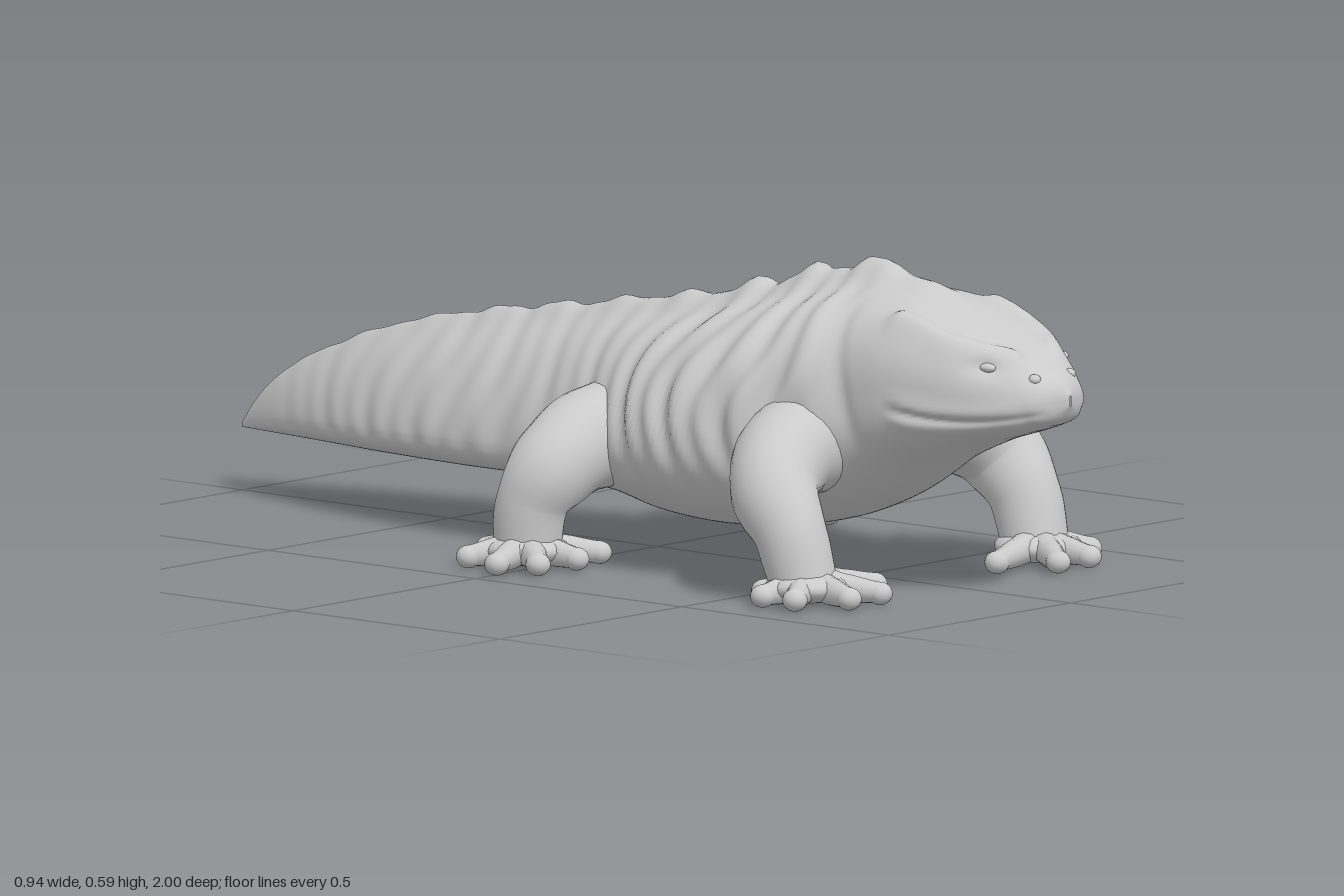
import * as THREE from 'three';

const skin = new THREE.MeshStandardMaterial({ color: 0xcacaca });
skin.name = 'grey skin';

// Body stations, tail to snout: z, half width, bottom, widest height, top, roundness, crest height
const stations = [
  [-1, .002, .12, .125, .13, 1.8, 0],
  [-.97, .014, .12, .135, .17, 1.7, .001],
  [-.92, .032, .12, .145, .217, 1.6, .003],
  [-.8, .068, .12, .16, .281, 1.5, .006],
  [-.6, .12, .12, .17, .347, 1.5, .012],
  [-.4, .155, .12, .18, .385, 1.5, .018],
  [-.15, .18, .12, .19, .42, 1.6, .024],
  [0, .208, .11, .22, .44, 1.8, .032],
  [.15, .265, .085, .24, .462, 1.9, .036],
  [.3, .287, .08, .26, .497, 2, .042],
  [.45, .265, .1, .28, .53, 2.1, .05],
  [.55, .225, .135, .31, .544, 2.3, .05],
  [.62, .2, .17, .35, .545, 2.5, .034],
  [.7, .192, .225, .37, .535, 2.7, .012],
  [.8, .168, .272, .375, .503, 2.7, 0],
  [.9, .124, .305, .37, .46, 2.4, 0],
  [.95, .086, .322, .37, .433, 2.2, 0],
  [.985, .047, .34, .372, .408, 2, 0],
  [1, .002, .365, .375, .385, 2, 0],
];
const profile = new THREE.CubicInterpolant(
  stations.map(s => s[0]), stations.flatMap(s => s.slice(1)), 6, new Float32Array(6));

const gauss = (d, s) => Math.exp(-(d * d) / (s * s));
const step = THREE.MathUtils.smoothstep;
const brow = [[.062, .91], [.1, .87], [.13, .81], [.138, .71]].map(([x, z]) => new THREE.Vector3(x, 0, z));

function browDistance(x, z) {
  const p = new THREE.Vector3(Math.abs(x), 0, z), q = new THREE.Vector3();
  let d = 1;
  for (let i = 0; i < brow.length - 1; i++) {
    d = Math.min(d, new THREE.Line3(brow[i], brow[i + 1]).closestPointToPoint(p, true, q).distanceTo(p));
  }
  return d;
}

// One point of the body skin, with folds, crest and face modelled in
function skinPoint(z, angle) {
  const [w, b, m, t, n, crest] = profile.evaluate(z);
  const c = Math.cos(angle), s = Math.sin(angle);
  const e = 2 / (s > 0 ? n : 2.3 + .6 * step(-z, -.1, .3) + .4 * step(z, .65, .8));
  let x = w * Math.sign(c) * Math.abs(c) ** e;
  let y = m + (s > 0 ? t - m : b - m) * Math.abs(s) ** e;

  // Vertical skin folds on the trunk and tail
  const side = step(s, -.55, .2) * (1 - step(z, .5, .62)) * step(z, -1, -.75);
  const wave = Math.sin(z * 88 + 2 * Math.sin(y * 19 + z * 5)) + .7 * Math.sin(z * 49 + y * 17);
  const trunk = step(z, -.1, .15);
  let k = 1 + side * wave * (.014 + .01 * trunk);
  // Neck crease and shoulder fold, fading out towards the spine
  const neckZ = z - .61 + .25 * (y - .4);
  const flank = step(s, -.6, .1) * step(Math.abs(c), .15, .6);
  k += flank * (.04 * gauss(neckZ + .055, .035) - .04 * gauss(neckZ, .018));
  // Mouth line and lips
  const mouth = y - .337 - .95 * (z - .85) ** 2, jaw = step(z, .7, .76) * (1 - step(z, .97, .995));
  k += jaw * (.025 * gauss(mouth - .018, .014) + .025 * gauss(mouth + .02, .014) - .045 * gauss(mouth, .007));
  x *= k;
  y = m + (y - m) * (1 + (k - 1) * .5);

  // Brow ridges above sunken eyes
  if (z > .6 && s > 0) {
    y += .018 * gauss(browDistance(x, z), .024) * step(s, .15, .6);
    const ex = (Math.abs(x) - .108) / .022, ey = (y - .437) / .016, ez = (z - .885) / .035;
    x *= 1 - .1 * Math.exp(-ex * ex - ey * ey - ez * ez);
  }
  // Scalloped ridge along the spine
  if (s > 0) y += crest * (.8 + .2 * Math.cos((z - .54) * 41)) * gauss(x, .01 + .13 * w);
  return [x, y, z];
}

function bodyGeometry(rings = 290, around = 144) {
  const pos = [], index = [];
  for (let i = 0; i <= rings; i++) {
    const z = -Math.cos(Math.PI * i / rings);
    for (let j = 0; j < around; j++) {
      pos.push(...skinPoint(z, 2 * Math.PI * j / around));
      if (i === rings) continue;
      const a = i * around + j, b = i * around + (j + 1) % around;
      index.push(a, b, a + around, b, b + around, a + around);
    }
  }
  const g = new THREE.BufferGeometry();
  g.setAttribute('position', new THREE.Float32BufferAttribute(pos, 3));
  g.setIndex(index);
  g.computeVertexNormals();
  return g;
}

// Tube through points whose radius follows a list
function limbGeometry(points, radii, segs, sides) {
  const curve = new THREE.CatmullRomCurve3(points.map(p => new THREE.Vector3(...p)));
  const g = new THREE.TubeGeometry(curve, segs, 1, sides);
  const p = g.attributes.position, v = new THREE.Vector3();
  for (let i = 0; i <= segs; i++) {
    const u = i / segs * (radii.length - 1), k = Math.min(Math.floor(u), radii.length - 2);
    const f = step(u - k, 0, 1), r = radii[k] * (1 - f) + radii[k + 1] * f;
    const c = curve.getPointAt(i / segs);
    for (let j = 0; j <= sides; j++) {
      const id = i * (sides + 1) + j;
      v.fromBufferAttribute(p, id).sub(c).multiplyScalar(r).add(c);
      p.setXYZ(id, v.x, v.y, v.z);
    }
  }
  return g;
}

function add(parent, name, geometry, at = [0, 0, 0], scale = [1, 1, 1]) {
  const mesh = new THREE.Mesh(geometry, skin);
  mesh.name = name;
  mesh.position.set(...at);
  mesh.scale.set(...scale);
  parent.add(mesh);
}

const ball = new THREE.SphereGeometry(1, 20, 14);
const legs = [
  {
    name: 'FrontLeg', foot: [.315, .645],
    path: [[.16, .275, .51], [.25, .25, .525], [.309, .2, .556], [.321, .13, .605], [.318, .03, .638]],
    radii: [.1, .09, .08, .066, .062],
    toes: [[.168, .675], [.245, .755], [.33, .755], [.405, .69], [.408, .615], [.36, .575]],
  },
  {
    name: 'HindLeg', foot: [.325, -.028],
    path: [[.12, .24, .035], [.23, .222, .018], [.302, .175, .005], [.32, .12, -.02], [.322, .03, -.03]],
    radii: [.1, .094, .083, .066, .062],
    toes: [[.22, .055], [.305, .075], [.4, .065], [.445, .005], [.415, -.09], [.31, -.135]],
  },
];

function buildLeg(leg, s) {
  const group = new THREE.Group();
  group.name = (s > 0 ? 'left' : 'right') + leg.name;
  add(group, 'limb', limbGeometry(leg.path.map(([x, y, z]) => [s * x, y, z]), leg.radii, 32, 28));
  const [fx, fz] = leg.foot;
  add(group, 'palm', ball, [s * fx, .036, fz], [.082, .03, .08]);
  // Splayed toes with rounded tips
  for (const [x, z] of leg.toes) {
    const mid = [s * (fx * .45 + x * .55), .033, fz * .45 + z * .55];
    add(group, 'toe', limbGeometry([[s * fx, .045, fz], mid, [s * x, .026, z]], [.036, .026, .02], 10, 12));
    add(group, 'toeTip', ball, [s * x, .025, z], [.023, .021, .023]);
  }
  return group;
}

export function createModel() {
  const model = new THREE.Group();
  model.name = 'lizard';
  add(model, 'bodyHeadAndTail', bodyGeometry());
  for (const s of [1, -1]) {
    for (const leg of legs) model.add(buildLeg(leg, s));
    add(model, 'eye', ball, [s * .1, .436, .885], [.012, .009, .02]);
    add(model, 'nostrilRim', ball, [s * .048, .415, .955], [.012, .01, .012]);
  }
  return model;
}
